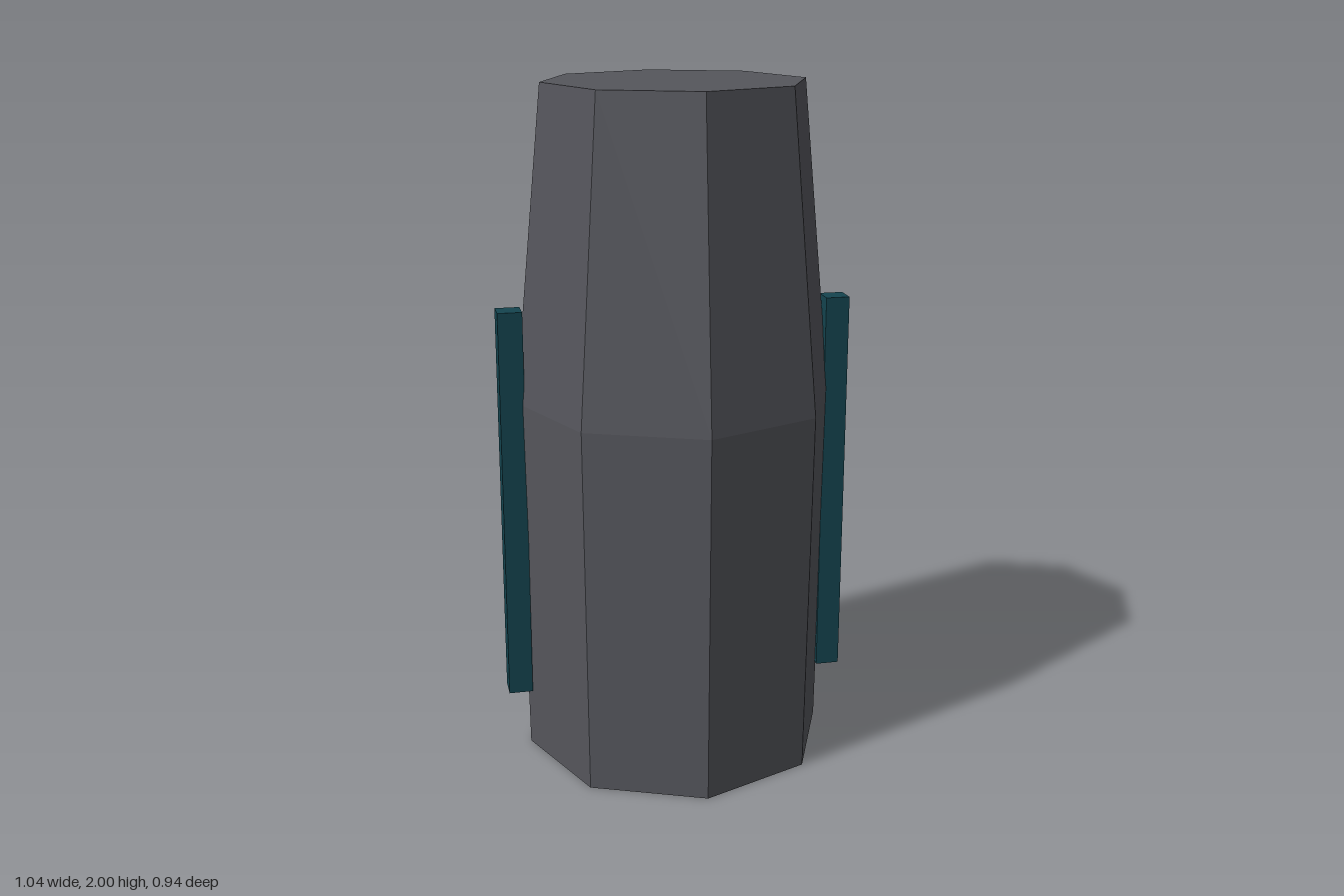
import * as THREE from 'three';

export function createModel() {
  const model = new THREE.Group();
  const shellMaterial = new THREE.MeshStandardMaterial({ color: 0x55565c, flatShading: true });
  const stripMaterial = new THREE.MeshStandardMaterial({ color: 0x14444f, flatShading: true });

  // Closed eight-sided shell, widest just above the middle, corners on the axes
  const profile = [[0, 0], [0.455, 0], [0.47, 1.09], [0.381, 2], [0, 2]]
    .map(([r, y]) => new THREE.Vector2(r, y));
  const shell = new THREE.Mesh(new THREE.LatheGeometry(profile, 8), shellMaterial);
  shell.name = 'shell';
  model.add(shell);

  // Upright strip on each side
  const stripGeometry = new THREE.BoxGeometry(0.071, 1.18, 0.071);
  for (const side of [1, -1]) {
    const strip = new THREE.Mesh(stripGeometry, stripMaterial);
    strip.name = side > 0 ? 'leftStrip' : 'rightStrip';
    strip.position.set(side * 0.485, 0.775, 0);
    model.add(strip);
  }

  return model;
}
